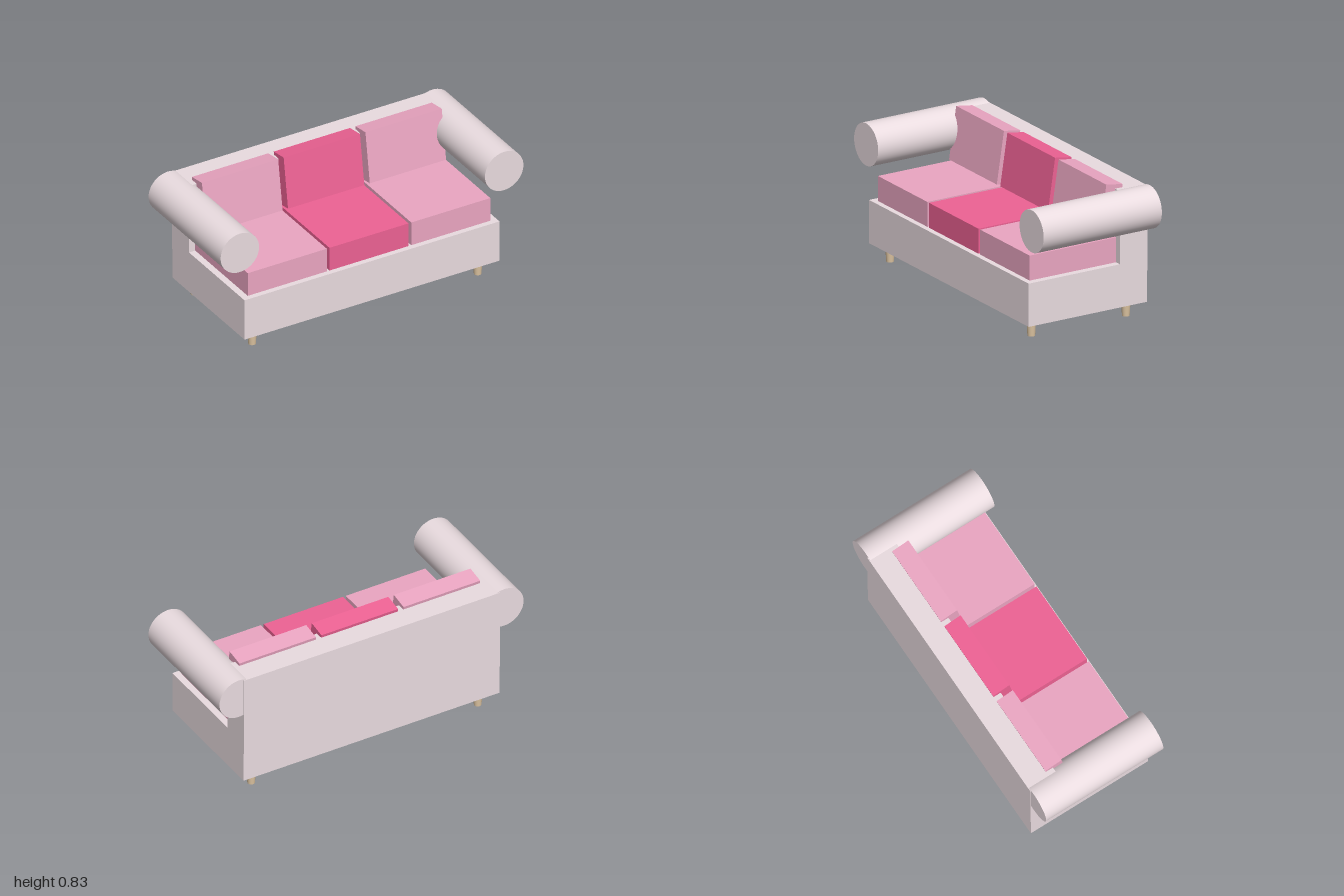
import * as THREE from 'three';

const paint = (color) => new THREE.MeshStandardMaterial({ color });

export function createModel() {
  const sofa = new THREE.Group();
  sofa.name = 'sofa';
  const fabric = paint(0xeadce0);
  const lightPink = paint(0xeba6c2);
  const hotPink = paint(0xee6294);
  const wood = paint(0xdcc3a0);

  const add = (name, geometry, material, x, y, z) => {
    const mesh = new THREE.Mesh(geometry, material);
    mesh.name = name;
    mesh.position.set(x, y, z);
    sofa.add(mesh);
    return mesh;
  };

  // Base and backrest (the backrest stands slightly proud at the rear)
  add('base', new THREE.BoxGeometry(1.684, 0.26, 0.794), fabric, 0, 0.225, 0.003);
  add('backrest', new THREE.BoxGeometry(1.684, 0.513, 0.186), fabric, 0, 0.538, -0.305);

  // Rolled arms and tapered legs
  const armGeometry = new THREE.CylinderGeometry(0.127, 0.127, 0.794, 48).rotateX(Math.PI / 2);
  const legGeometry = new THREE.CylinderGeometry(0.028, 0.022, 0.097, 24);
  for (const [side, s] of [['left', 1], ['right', -1]]) {
    add(`${side}Arm`, armGeometry, fabric, s * 0.873, 0.679, 0.003);
    add(`${side}FrontLeg`, legGeometry, wood, s * 0.745, 0.0485, 0.321);
    add(`${side}BackLeg`, legGeometry, wood, s * 0.745, 0.0485, -0.314);
  }

  // Three seat cushions with three leaning back cushions
  const seatGeometry = new THREE.BoxGeometry(0.522, 0.15, 0.58);
  const backGeometry = new THREE.BoxGeometry(0.504, 0.317, 0.111);
  for (const [side, s] of [['right', -1], ['middle', 0], ['left', 1]]) {
    const material = s === 0 ? hotPink : lightPink;
    add(`${side}SeatCushion`, seatGeometry, material, s * 0.54, 0.43, 0.077);
    add(`${side}BackCushion`, backGeometry, material, s * 0.54, 0.665, -0.184).rotation.x = -0.152;
  }

  return sofa;
}
